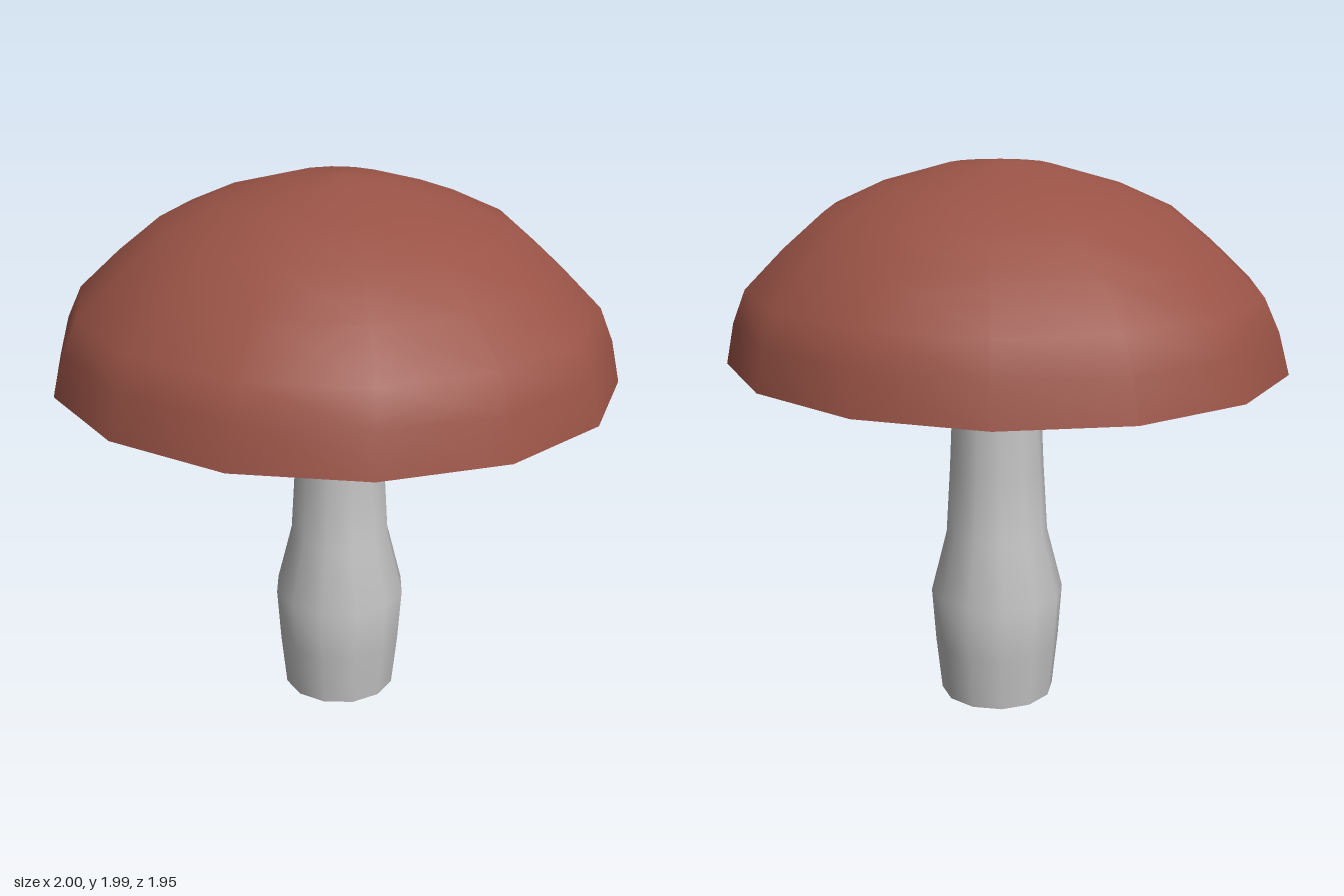
import * as THREE from 'three';

const RIM_Y = 1.29, CAP_SIDES = 14, STEM_SIDES = 12;

// Turned surface from [radius, height] pairs
function turned(name, profile, sides, material) {
  const points = profile.map(([r, y]) => new THREE.Vector2(r, y));
  const mesh = new THREE.Mesh(new THREE.LatheGeometry(points, sides), material);
  mesh.name = name;
  return mesh;
}

export function createModel() {
  const capRed = new THREE.MeshStandardMaterial({ color: 0x9a5346 });
  capRed.name = 'capRed';
  const paleGrey = new THREE.MeshStandardMaterial({ color: 0xc4c4c4 });
  paleGrey.name = 'paleGrey';
  const model = new THREE.Group();
  model.name = 'mushroom';

  // Domed cap, slightly wider than deep, leaning back towards its crown
  const cap = turned('cap', [
    [1, RIM_Y], [0.965, 1.435], [0.915, 1.55], [0.77, 1.69],
    [0.62, 1.815], [0.43, 1.9], [0.18, 1.97], [0, 1.985],
  ], CAP_SIDES, capRed);
  const pos = cap.geometry.attributes.position;
  for (let i = 0; i < pos.count; i++) {
    const lift = (pos.getY(i) - RIM_Y) / 0.7;
    pos.setX(i, pos.getX(i) * 1.025);
    pos.setZ(i, pos.getZ(i) * 0.977 - 0.03 * lift);
  }

  // Shallow hollow beneath the cap
  const gills = turned('gills', [[0, 1.4], [1, RIM_Y]], CAP_SIDES, paleGrey);
  gills.scale.set(1.025, 1, 0.977);

  // Stem with a swollen foot, and the skirt around its neck
  const stem = new THREE.Group();
  stem.name = 'stem';
  stem.position.z = -0.04;
  stem.add(
    turned('stemSide', [
      [0.21, 0], [0.231, 0.2], [0.245, 0.4], [0.187, 0.63], [0.172, 0.88], [0.16, 1.15], [0.15, 1.39],
    ], STEM_SIDES, paleGrey),
    turned('stemBase', [[0, 0], [0.21, 0]], STEM_SIDES, paleGrey),
    turned('skirt', [[0.25, 1.15], [0.165, 1.39]], STEM_SIDES, paleGrey),
    turned('skirtUnderside', [[0.14, 1.15], [0.25, 1.15]], STEM_SIDES, paleGrey),
  );

  model.add(cap, gills, stem);
  return model;
}
